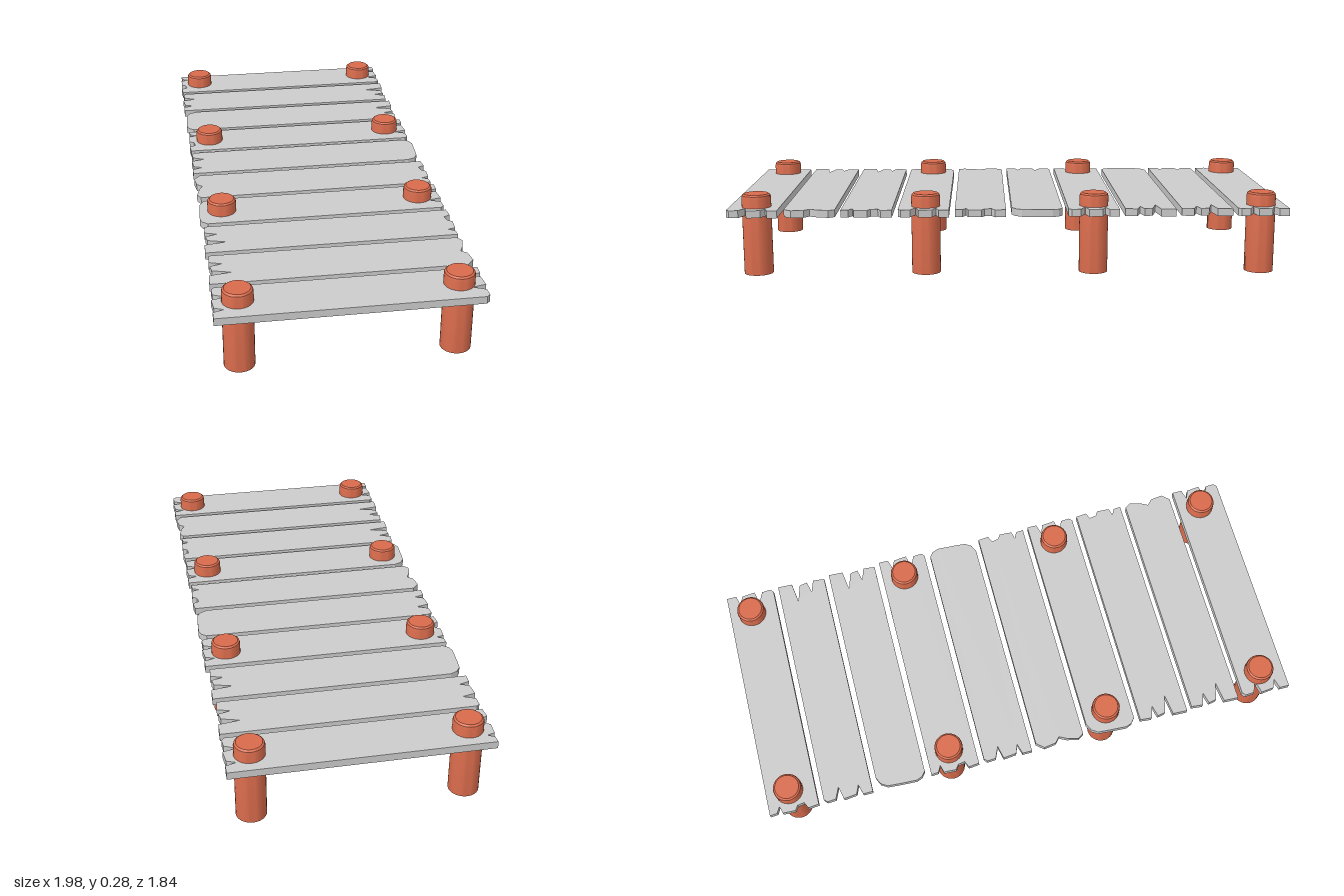
import * as THREE from 'three';
import { toCreasedNormals } from 'three/addons/utils/BufferGeometryUtils.js';

const PITCH = 0.1905, WIDTH = 0.171, HALF_LENGTH = 0.42;
const DECK_TOP = 0.23, DECK_THICKNESS = 0.025;

// Worn plank ends: [fraction across the plank, depth cut back from the end]
const WORN = {
  split: [[0, 0], [0.2, 0], [0.26, 0.035], [0.33, 0.005], [0.6, 0], [0.66, 0.045], [0.76, 0.006], [0.94, 0.004], [1, 0.015]],
  deep: [[0, 0.002], [0.3, 0.004], [0.36, 0.075], [0.46, 0.015], [0.62, 0.01], [0.68, 0.05], [0.76, 0.008], [1, 0.012]],
  rounded: [[0, 0.025], [0.08, 0.008], [0.2, 0], [0.55, 0.003], [0.8, 0.006], [0.93, 0.02], [1, 0.045]],
  chipped: [[0, 0.004], [0.22, 0], [0.28, 0.022], [0.42, 0.018], [0.48, 0.002], [0.74, 0.004], [0.78, 0.03], [0.85, 0.008], [1, 0.006]],
  wavy: [[0, 0.015], [0.12, 0.002], [0.35, 0.012], [0.5, 0.025], [0.6, 0.006], [0.85, 0], [1, 0.022]],
};

// Wear at the back and front end of each plank along the deck
const PLANKS = [
  ['split', 'chipped'], ['deep', 'split'], ['deep', 'rounded'], ['split', 'chipped'], ['rounded', 'split'],
  ['chipped', 'wavy'], ['split', 'rounded'], ['chipped', 'deep'], ['wavy', 'deep'], ['split', 'split'],
];

function plankGeometry(back, front) {
  const x = f => (f - 0.5) * WIDTH;
  const outline = [
    ...WORN[back].map(([f, d]) => new THREE.Vector2(x(f), -HALF_LENGTH + d)),
    // the front end runs the other way, so its wear is turned half round
    ...WORN[front].map(([f, d]) => new THREE.Vector2(x(1 - f), HALF_LENGTH - d)),
  ];
  const geometry = new THREE.ExtrudeGeometry(new THREE.Shape(outline), { depth: DECK_THICKNESS, bevelEnabled: false });
  return geometry.rotateX(Math.PI / 2).translate(0, DECK_TOP, 0);
}

export function createModel() {
  const dock = new THREE.Group();
  dock.name = 'dock';
  const grey = new THREE.MeshStandardMaterial({ color: 0xcccccc });
  const postMaterial = new THREE.MeshStandardMaterial({ color: 0xd86b4c });

  // Deck of ten boards with narrow gaps; outer corners stay square
  const deck = new THREE.Group();
  deck.name = 'deck';
  PLANKS.forEach(([back, front], i) => {
    const plank = new THREE.Mesh(plankGeometry(back, front), grey);
    plank.name = 'plank';
    plank.position.x = (i - 4.5) * PITCH;
    deck.add(plank);
  });
  dock.add(deck);

  // Round posts with softened tops, in pairs through every third board
  const profile = [[0, 0], [0.049, 0], [0.049, 0.262], [0.047, 0.27], [0.041, 0.275], [0, 0.275]]
    .map(([r, y]) => new THREE.Vector2(r, y));
  const postGeometry = toCreasedNormals(new THREE.LatheGeometry(profile, 32), 0.6);
  for (const i of [0, 3, 6, 9]) {
    for (const side of [-1, 1]) {
      const post = new THREE.Mesh(postGeometry, postMaterial);
      post.name = side < 0 ? 'backPost' : 'frontPost';
      post.position.set((i - 4.5) * PITCH - 0.005, 0, side * 0.341);
      dock.add(post);
    }
  }

  // The dock lies diagonally on the ground
  dock.rotation.y = THREE.MathUtils.degToRad(-39.1);
  const model = new THREE.Group();
  model.name = 'model';
  model.add(dock);
  return model;
}
